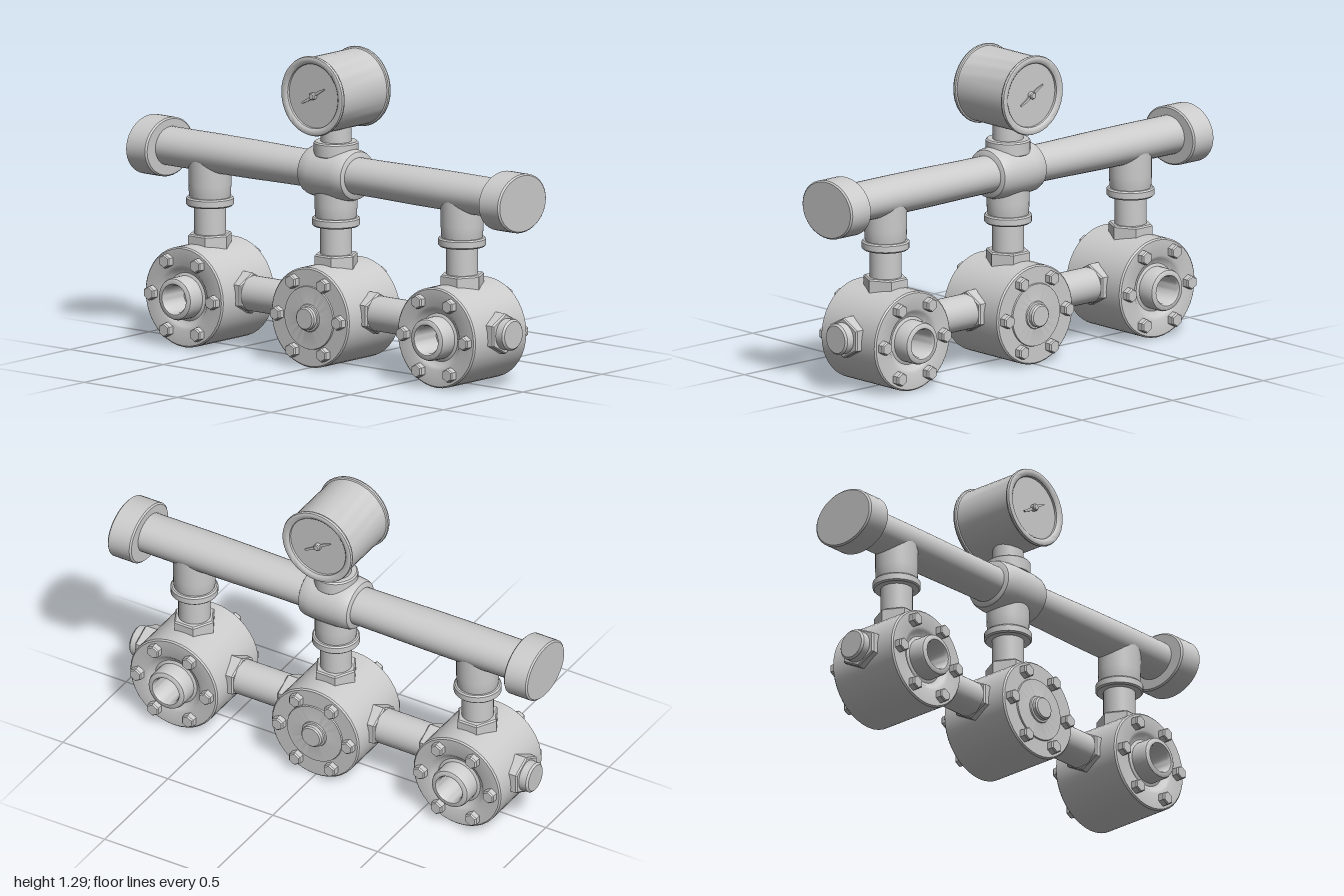
import * as THREE from 'three';
import { toCreasedNormals } from 'three/addons/utils/BufferGeometryUtils.js';

const material = new THREE.MeshStandardMaterial({ color: 0xcccccc });

// Turned part from [radius, height] points, bottom to top, turned onto an axis
function turned(points, axis = 'y', segments = 32, spin = 0) {
  const geo = new THREE.LatheGeometry(points.map(p => new THREE.Vector2(p[0], p[1])), segments);
  geo.rotateY(spin);
  if (axis === 'x') geo.rotateZ(-Math.PI / 2);
  if (axis === 'z') geo.rotateX(Math.PI / 2);
  return toCreasedNormals(geo, 0.6);
}

// Profile reflected about height 0, so both ends match
const bothEnds = half => [...half.map(([r, h]) => [r, -h]).reverse(), ...half];

// Solid drum between two heights with a small bevel
const drum = (r, h0, h1, b = 0.006) =>
  [[0, h0], [r - b, h0], [r, h0 + b], [r, h1 - b], [r - b, h1], [0, h1]];

function add(parent, name, geo, x = 0, y = 0, z = 0, depth = 1) {
  const mesh = new THREE.Mesh(geo, material);
  mesh.name = name;
  mesh.position.set(x, y, z);
  mesh.scale.z = depth;
  parent.add(mesh);
  return mesh;
}

// Valve body with bolted faces front and back
function makeValve(open) {
  const valve = new THREE.Group();
  valve.name = open ? 'outletValve' : 'blankValve';
  const rim = [[0.208, 0.16], [0.202, 0.166]];
  const face = open
    ? [[0.135, 0.166], [0.122, 0.16], [0.11, 0.148], [0.1, 0.145], [0.088, 0.15], [0.088, 0.212],
      [0.084, 0.222], [0.076, 0.227], [0.064, 0.227], [0.057, 0.215], [0.055, 0.1], [0, 0.1]]
    : [[0.132, 0.166], [0.13, 0.172], [0.058, 0.172], [0.056, 0.178], [0.048, 0.18],
      [0.048, 0.195], [0.042, 0.201], [0, 0.201]];
  add(valve, 'valveBody', turned(bothEnds([...rim, ...face]), 'z', 40));

  const bolt = turned(bothEnds([[0.03, 0.19], [0.025, 0.196], [0, 0.196]]), 'z', 6);
  for (let i = 0; i < 6; i++) {
    const a = i * Math.PI / 3;
    add(valve, 'flangeBolt', bolt, 0.165 * Math.cos(a), 0.165 * Math.sin(a)).rotation.z = a;
  }
  return valve;
}

// Vertical pipe joining a valve to the manifold
function makeRiser() {
  const riser = new THREE.Group();
  riser.name = 'riser';
  add(riser, 'hexCollar', turned(drum(0.09, 0.39, 0.455), 'y', 6, Math.PI / 6), 0, 0, 0, 1.08);
  add(riser, 'riserPipe', turned(drum(0.066, 0.4, 0.6)));
  add(riser, 'riserRing', turned(drum(0.098, 0.57, 0.607)));
  add(riser, 'riserSleeve', turned([[0, 0.59], [0.08, 0.59], [0.086, 0.615], [0.088, 0.66],
    [0.088, 0.78], [0, 0.78]]));
  return riser;
}

// Round gauge with a dial on both ends
function makeGauge() {
  const gauge = new THREE.Group();
  gauge.name = 'gauge';
  add(gauge, 'gaugeCase', turned(bothEnds([[0.158, 0.135], [0.164, 0.138], [0.166, 0.145], [0.163, 0.153],
    [0.155, 0.156], [0.142, 0.154], [0.134, 0.147], [0.133, 0.138], [0, 0.138]]), 'z', 40));

  const needle = new THREE.Shape();
  [[-0.07, -0.004], [-0.035, -0.008], [0, -0.005], [0.07, -0.002],
    [0.07, 0.003], [0.035, 0.008], [0, 0.005], [-0.07, 0.002]]
    .forEach(([x, y], i) => (i ? needle.lineTo(x, y) : needle.moveTo(x, y)));
  const needleGeo = new THREE.ExtrudeGeometry(needle, { depth: 0.005, bevelEnabled: false });
  const pin = turned(drum(0.015, 0.13, 0.158, 0.004), 'z', 16);
  for (const turn of [0, Math.PI]) {
    const dial = new THREE.Group();
    dial.name = 'dial';
    dial.rotation.y = turn;
    add(dial, 'needle', needleGeo, 0, 0, 0.142).rotation.z = 0.52;
    add(dial, 'needlePin', pin);
    gauge.add(dial);
  }
  return gauge;
}

export function createModel() {
  const model = new THREE.Group();
  model.name = 'pipeManifold';

  // Valves and risers
  for (const x of [-0.675, 0, 0.675]) {
    const valve = makeValve(x !== 0);
    valve.position.set(x, 0.21, 0);
    const riser = makeRiser();
    riser.position.x = x;
    model.add(valve, riser);
  }

  // Manifold pipe, slightly oval and swelling along each half
  const swell = [[0.076, 0.1], [0.077, 0.25], [0.08, 0.45], [0.081, 0.65], [0.08, 0.95], [0, 0.95]];
  add(model, 'manifoldPipe', turned(bothEnds(swell), 'x'), 0, 0.79, 0, 1.16);
  add(model, 'manifoldHub', turned(bothEnds([[0.11, 0], [0.109, 0.06], [0.105, 0.1], [0.099, 0.115],
    [0.09, 0.12], [0, 0.12]]), 'x'), 0, 0.79, 0, 1.1);

  // Parts mirrored left and right
  const side = (name, points, y, depth, segments = 32, spin = 0) => {
    for (const turn of [0, Math.PI]) {
      add(model, name, turned(points, 'x', segments, spin), 0, y, 0, depth).rotation.y = turn;
    }
  };
  side('endCap', drum(0.122, 0.888, 1), 0.785, 1.25, 40);
  side('linkPipe', drum(0.073, 0.15, 0.52), 0.232, 1.05);
  side('linkCollarInner', drum(0.086, 0.17, 0.232), 0.232, 1.1, 6, Math.PI / 6);
  side('linkCollarOuter', drum(0.086, 0.443, 0.51), 0.232, 1.1, 6, Math.PI / 6);
  side('plugCollar', drum(0.085, 0.84, 0.91), 0.232, 1.12, 6, Math.PI / 6);
  side('plug', drum(0.065, 0.86, 0.951, 0.008), 0.232, 1);

  // Gauge on its neck
  add(model, 'gaugeCollar', turned(drum(0.09, 0.86, 0.922)), 0, 0, 0, 1.04);
  add(model, 'gaugeNeck', turned(drum(0.063, 0.88, 1.0)));
  const gauge = makeGauge();
  gauge.position.y = 1.128;
  model.add(gauge);
  return model;
}
